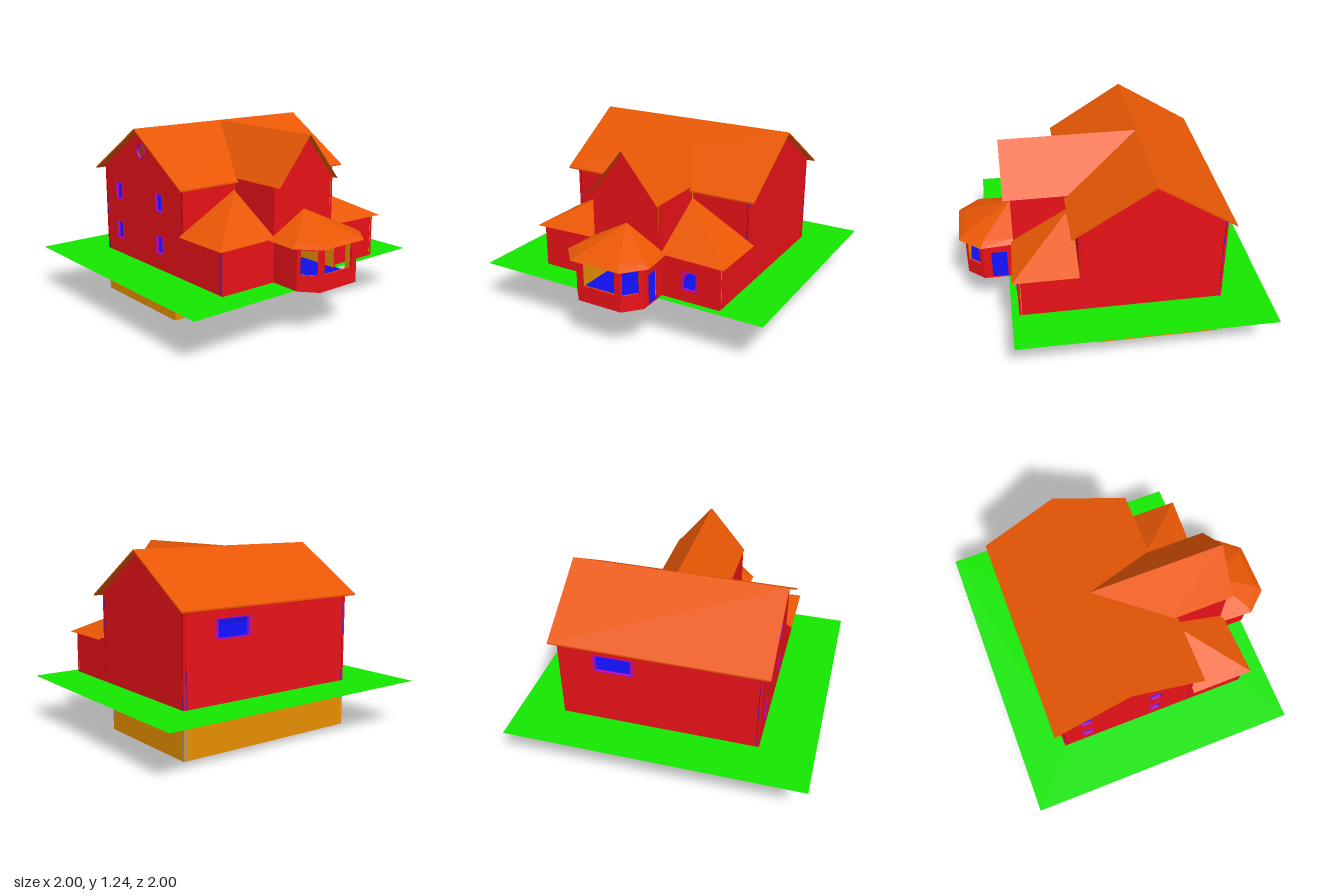
import * as THREE from 'three';

const RED = 0xe81218, ORANGE = 0xe85704, OCHRE = 0xe68e00, GREEN = 0x14e800;
const BLUE = 0x1010e8, PURPLE = 0xb808b8, LIME = 0xc0e000, PALE = 0x74b4f4, GLASS = 0xaae6c4;
const T = 0.015; // wall thickness
const G = 0.31;  // ground level

function add(parent, name, geometry, color, side = THREE.FrontSide) {
  const mesh = new THREE.Mesh(geometry,
    new THREE.MeshStandardMaterial({ color, side, flatShading: true }));
  mesh.name = name;
  parent.add(mesh);
  return mesh;
}

const shapeOf = (pts) => new THREE.Shape(pts.map(([x, y]) => new THREE.Vector2(x, y)));
const rect = (u0, u1, y0, y1) => [[u0, y0], [u1, y0], [u1, y1], [u0, y1]];
const circle = (u, y, r) => Array.from({ length: 16 }, (_, i) => {
  const a = (i / 16) * Math.PI * 2;
  return [u + r * Math.cos(a), y + r * Math.sin(a)];
});

function extrude(outline, holes, depth, z) {
  const s = shapeOf(outline);
  for (const h of holes) s.holes.push(shapeOf(h));
  return new THREE.ExtrudeGeometry(s, { depth, bevelEnabled: false }).translate(0, 0, z);
}

// Wall from plan point a to b (left to right seen from outside), with openings.
function wall(parent, name, a, b, outline, { holes = [], color = RED, lining, framed = true } = {}) {
  const g = new THREE.Group();
  g.name = name;
  const dx = b[0] - a[0], dz = b[1] - a[1], len = Math.hypot(dx, dz);
  g.position.set(a[0], 0, a[1]);
  g.rotation.y = Math.atan2(-dz, dx);
  const pts = Array.isArray(outline) ? outline : rect(0, len, G, outline);
  add(g, name + 'Panel', extrude(pts, holes, T, -T), color);
  if (lining) add(g, name + 'Lining', extrude(pts, holes, 0.004, -T - 0.004), lining);
  if (framed) for (const h of holes) {
    const c = h.reduce((s, p) => [s[0] + p[0] / h.length, s[1] + p[1] / h.length], [0, 0]);
    const inner = h.map(([u, y]) => [c[0] + (u - c[0]) * 0.87, c[1] + (y - c[1]) * 0.9]);
    add(g, 'windowFrame', extrude(h, [inner], T + 0.004, -T), PURPLE);
  }
  parent.add(g);
}

// Thin surface made of convex corner loops.
function sheet(parent, name, polys, color) {
  const v = [];
  for (const p of polys)
    for (let i = 1; i < p.length - 1; i++) v.push(...p[0], ...p[i], ...p[i + 1]);
  const geo = new THREE.BufferGeometry();
  geo.setAttribute('position', new THREE.Float32BufferAttribute(v, 3));
  geo.computeVertexNormals();
  add(parent, name, geo, color, THREE.DoubleSide);
}

function box(parent, name, x0, x1, y0, y1, z0, z1, color) {
  const geo = new THREE.BoxGeometry(x1 - x0, y1 - y0, z1 - z0);
  add(parent, name, geo.translate((x0 + x1) / 2, (y0 + y1) / 2, (z0 + z1) / 2), color);
}

// Horizontal plane from a plan outline of [x, z] points.
function plan(parent, name, pts, y, color, holes = []) {
  const flip = (p) => p.map(([x, z]) => [x, -z]);
  const s = shapeOf(flip(pts));
  for (const h of holes) s.holes.push(shapeOf(flip(h)));
  const geo = new THREE.ShapeGeometry(s).rotateX(-Math.PI / 2).translate(0, y, 0);
  add(parent, name, geo, color, THREE.DoubleSide);
}

export function createModel() {
  const house = new THREE.Group();
  house.name = 'house';
  const L = -0.64, R = 0.692, B = -0.692, F = 0.25, W = 0.642; // plan lines
  const CL = -0.23, CR = 0.28, CX = 0.025;                     // centre bay lines

  // Lawn, wrapped around the footprint
  plan(house, 'lawn', [[-1, -1], [1, -1], [1, 0.69], [CR, 0.69], [CR, W], [R, W], [R, B],
    [L, B], [L, W], [CL, W], [CL, 0.842], [-1, 0.842]], G + 0.002, GREEN);

  // Basement: lined walls, ceiling, and a floor with a square opening
  const bf = 0.14;
  const inside = rect(L + T, R - T, B + T, bf - T);
  const base = { color: OCHRE, lining: PALE };
  wall(house, 'basementBack', [R, B], [L, B], rect(0, R - L, 0, G), base);
  wall(house, 'basementFront', [L, bf], [R, bf], rect(0, R - L, 0, G), base);
  wall(house, 'basementLeft', [R, bf], [R, B], rect(0, bf - B, 0, G), base);
  wall(house, 'basementRight', [L, B], [L, bf], rect(0, bf - B, 0, G), base);
  plan(house, 'basementFloor', inside, 0.006, PALE, [rect(-0.59, -0.1, -0.54, -0.09)]);
  plan(house, 'basementCeiling', inside, 0.29, PALE);

  // Main block: back wall, two gable walls and the front walls above the wings
  const blue = { lining: BLUE };
  wall(house, 'backWall', [R, B], [L, B], 0.922, { holes: [rect(0.235, 0.505, 0.71, 0.84)], ...blue });
  const gable = [[0, G], [F - B, G], [F - B, 0.922], [0.472, 1.232], [0, 0.922]];
  const openings = [circle(0.47, 1.08, 0.05)];
  for (const u of [0.18, 0.67])
    for (const y of [0.42, 0.705]) openings.push(rect(u - 0.04, u + 0.04, y, y + 0.125));
  wall(house, 'rightGableWall', [L, B], [L, F], gable, { holes: openings, ...blue });
  wall(house, 'leftGableWall', [R, F], [R, B], gable, blue);
  wall(house, 'frontWallRight', [L, F], [CL, F], 0.92, blue);
  wall(house, 'frontWallLeft', [CR, F], [R, F], 0.92, blue);
  for (const y of [0.322, 0.61, 0.92])
    plan(house, 'storeyFloor', rect(L + T, R - T, B + T, F - T), y, BLUE);

  // Cross gable walls
  wall(house, 'crossGableFront', [CL, W], [CR, W],
    [[0, 0.58], [0.51, 0.58], [0.51, 0.925], [0.255, 1.233], [0, 0.925]]);
  wall(house, 'crossWallLeft', [CR, W], [CR, F], 0.925, { lining: OCHRE });
  wall(house, 'crossWallRight', [CL, F], [CL, W], 0.925, { lining: OCHRE });

  // Single-storey wings
  wall(house, 'leftWingFront', [CR, W], [R, W], 0.61, { holes: [rect(0.148, 0.25, 0.39, 0.52)], lining: LIME });
  wall(house, 'leftWingSide', [R, W], [R, F], 0.61, { lining: LIME });
  wall(house, 'rightWingFront', [L, W], [CL, W], 0.61, blue);
  wall(house, 'rightWingSide', [L, F], [L, W], 0.61, blue);
  box(house, 'leftWingBackLining', CR, R - T, G, 0.61, F, F + 0.006, LIME);

  // Bay window walls
  const bay = [[CL, W], [CL, 0.85], [-0.135, 0.96], [0.183, 0.96], [CR, 0.85], [CR, W]];
  const bayHoles = [[], [rect(0.022, 0.128, 0.415, 0.575)], [rect(0.035, 0.275, 0.415, 0.575)],
    [rect(0.012, 0.118, 0.415, 0.575)], [rect(0.055, 0.16, 0.317, 0.52)]];
  bayHoles.forEach((holes, i) =>
    wall(house, 'bayWall', bay[i], bay[i + 1], 0.6, { holes, lining: OCHRE, framed: false }));

  // Front room floors, with timber undersides below the left wing and the bay
  plan(house, 'frontFloor', [[L, bf], [R, bf], [R, W], [CR, W], ...bay.slice(1, 5).reverse(),
    [CL, W], [L, W]], G + 0.01, BLUE);
  plan(house, 'bayFloorUnderside', bay, G + 0.001, OCHRE);
  plan(house, 'wingFloorUnderside', rect(CR, 0.64, bf, W), G + 0.001, OCHRE);
  plan(house, 'wingFloorEdge', rect(0.64, R, bf, W), G + 0.001, LIME);

  // Back of the bay room with a pale double door
  box(house, 'roomBackWall', CL, CR, G, 0.92, F, F + 0.01, OCHRE);
  for (const x of [-0.08, -0.027]) box(house, 'innerDoor', x, x + 0.051, 0.33, 0.525, F + 0.01, F + 0.02, GLASS);

  // Main roof: a thin folded section run along the ridge
  const top = 1.235, ridge = -0.22, RL = -0.69, RR = 0.735, thick = 0.01;
  const fold = [[-0.295, 0.9], [0.735, 0.9]];
  const section = [fold[0], [-ridge, top - thick], fold[1],
    [fold[1][0], 0.9 + thick], [-ridge, top], [fold[0][0], 0.9 + thick]];
  add(house, 'mainRoof', extrude(section, [], RR - RL, 0).rotateY(Math.PI / 2).translate(RL, 0, 0), ORANGE);

  // Cross roof, dying into the main slope along two valleys
  sheet(house, 'crossRoof', [
    [[CR, 0.925, 0.69], [CR, 0.925, F], [CX, top, ridge], [CX, top, 0.69]],
    [[CL, 0.925, F], [CL, 0.925, 0.69], [CX, top, 0.69], [CX, top, ridge]],
  ], ORANGE);

  // Hipped wing roofs, mirrored about the centre line
  for (const s of [1, -1]) {
    const p = (x, y, z) => [CX + s * x, y, z];
    const apex = p(0.255, 0.845, F), corner = p(0.703, 0.603, 0.675);
    const polys = [
      [p(0.255, 0.603, 0.655), corner, apex],
      [corner, p(0.703, 0.603, F), apex],
    ];
    if (s < 0) polys.forEach((q) => q.reverse());
    sheet(house, s > 0 ? 'leftWingRoof' : 'rightWingRoof', polys, ORANGE);
  }

  // Bay roof: shallow eave ring below a steeper faceted cap
  const eave = [[-0.27, W], [-0.28, 0.86], [-0.155, 1], [0.205, 1], [0.325, 0.86], [0.305, W]];
  const ring = [[-0.225, W], [-0.23, 0.84], [-0.12, 0.96], [0.17, 0.96], [0.28, 0.84], [0.275, W]];
  const bayRoof = [];
  for (let i = 0; i < 5; i++) {
    const e = [eave[i], eave[i + 1]].map(([x, z]) => [x, 0.593, z]);
    const r = [ring[i], ring[i + 1]].map(([x, z]) => [x, 0.622, z]);
    bayRoof.push([e[0], e[1], r[1], r[0]], [r[0], r[1], [CX, 0.755, W]]);
  }
  sheet(house, 'bayRoof', bayRoof, ORANGE);

  return house;
}
